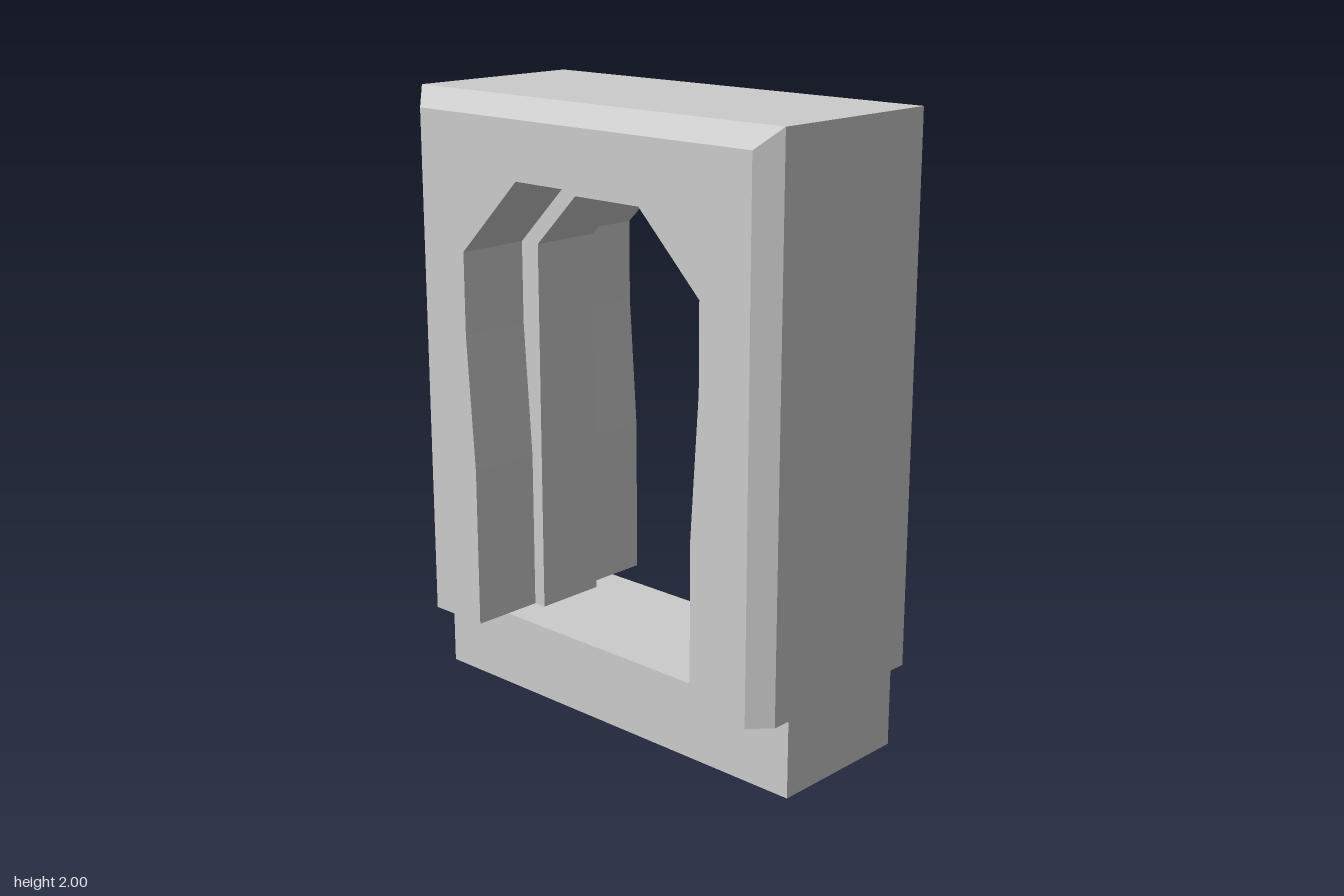
import * as THREE from 'three';

const material = new THREE.MeshStandardMaterial({ color: 0xcccccc, flatShading: true });

const BASE_TOP = 0.25;
const DEPTH = 0.375;      // half depth of the frame
const CHAMFER = 0.0625;
const RIB_DEPTH = 0.125;  // half depth of the inner rib

// Stations up the +x jamb: opening, rib edge, outer edge, chamfer direction
const half = [
  { inner: [0.47, BASE_TOP], rib: [0.425, BASE_TOP], outer: [0.75, BASE_TOP], cut: [1, 0] },
  { inner: [0.47, 0.78], rib: [0.425, 0.78], outer: [0.75, 0.78], cut: [1, 0] },
  { inner: [0.5, 1.23], rib: [0.425, 1.23], outer: [0.75, 1.23], cut: [1, 0] },
  { inner: [0.5, 1.5], rib: [0.425, 1.5], outer: [0.75, 2], cut: [1, 1] },
  { inner: [0.25, 1.75], rib: [0.25, 1.675], outer: [0.25, 2], cut: [0, 1] },
];
const flip = ([x, y]) => [-x, y];
const mirrored = half.map((s) => ({
  inner: flip(s.inner), rib: flip(s.rib), outer: flip(s.outer), cut: flip(s.cut),
})).reverse();
const stations = [...half, ...mirrored];

// Closed cross-section of the frame at one station
function section({ inner, outer, cut }) {
  const edge = [outer[0] - cut[0] * CHAMFER, outer[1] - cut[1] * CHAMFER];
  return [
    [...outer, -DEPTH + CHAMFER],
    [...outer, DEPTH - CHAMFER],
    [...edge, DEPTH],
    [...inner, DEPTH],
    [...inner, -DEPTH],
    [...edge, -DEPTH],
  ];
}

// Joins the sections into a faceted solid with capped ends
function loft(rings) {
  const positions = [];
  const tri = (...corners) => corners.forEach((p) => positions.push(...p));
  for (let i = 0; i < rings.length - 1; i++) {
    const r = rings[i], s = rings[i + 1];
    for (let j = 0; j < r.length; j++) {
      const k = (j + 1) % r.length;
      tri(r[j], s[j], s[k]);
      tri(r[j], s[k], r[k]);
    }
  }
  const first = rings[0], last = rings[rings.length - 1];
  for (let j = 1; j < first.length - 1; j++) {
    tri(first[0], first[j], first[j + 1]);
    tri(last[0], last[j + 1], last[j]);
  }
  const geometry = new THREE.BufferGeometry();
  geometry.setAttribute('position', new THREE.Float32BufferAttribute(positions, 3));
  geometry.computeVertexNormals();
  return geometry;
}

function addPart(group, name, geometry) {
  const mesh = new THREE.Mesh(geometry, material);
  mesh.name = name;
  group.add(mesh);
}

export function createModel() {
  const group = new THREE.Group();
  group.name = 'doorFrame';

  // Sill under the opening
  const sill = new THREE.BoxGeometry(1.5, BASE_TOP, 0.5).translate(0, BASE_TOP / 2, 0);
  addPart(group, 'sill', sill);

  // Jambs and head with chamfered outer edges
  addPart(group, 'archFrame', loft(stations.map(section)));

  // Rib lining the middle of the opening
  const outline = [
    ...stations.map((s) => s.inner),
    ...stations.map((s) => s.rib).reverse(),
  ].map(([x, y]) => new THREE.Vector2(x, y));
  const rib = new THREE.ExtrudeGeometry(new THREE.Shape(outline), {
    depth: RIB_DEPTH * 2, bevelEnabled: false,
  }).translate(0, 0, -RIB_DEPTH);
  addPart(group, 'innerRib', rib);

  return group;
}
